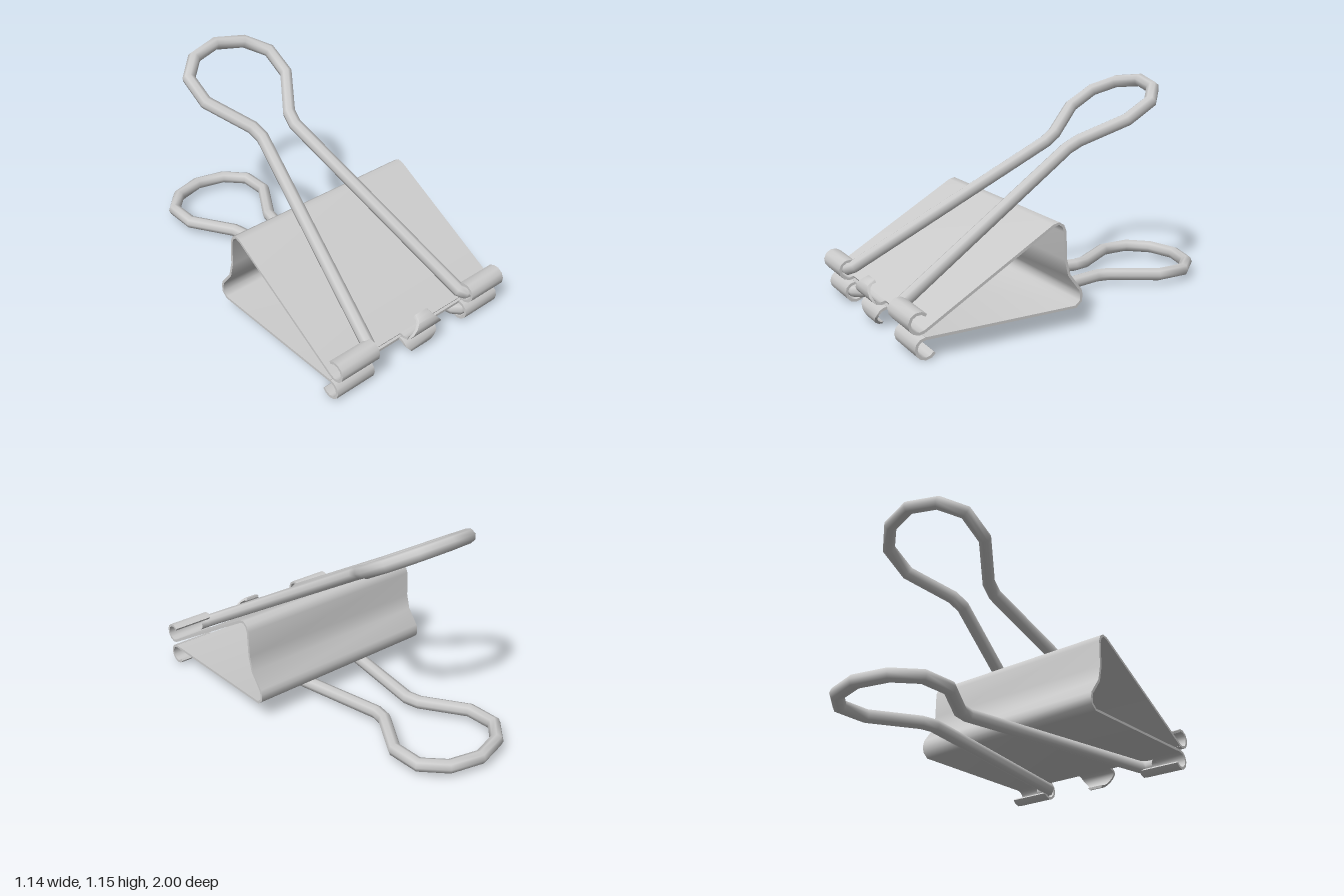
import * as THREE from 'three';
import { toCreasedNormals } from 'three/addons/utils/BufferGeometryUtils.js';

const material = new THREE.MeshStandardMaterial({ color: 0xcccccc, side: THREE.DoubleSide });
const V2 = (p) => new THREE.Vector2(p[0], p[1]);
const RAD = Math.PI / 180;
const SHEET = 0.014;

// Unit direction at point i of a polyline, halving the angle at corners
function directionAt(pts, i) {
  const before = pts[i].clone().sub(pts[Math.max(i - 1, 0)]).normalize();
  const after = pts[Math.min(i + 1, pts.length - 1)].clone().sub(pts[i]).normalize();
  return before.add(after).normalize();
}

// Sheet metal: a [z, y] profile given thickness and swept across x
function sheet(name, profile, width, x = 0, halfWidthAt = null) {
  const pts = profile.map(V2);
  const offset = (side) => pts.map((p, i) => {
    const d = directionAt(pts, i);
    return new THREE.Vector2(p.x - d.y * side * SHEET / 2, p.y + d.x * side * SHEET / 2);
  });
  const shape = new THREE.Shape([...offset(1), ...offset(-1).reverse()]);
  const geo = new THREE.ExtrudeGeometry(shape, { depth: width, bevelEnabled: false });
  geo.translate(0, 0, -width / 2).rotateY(-Math.PI / 2).translate(x, 0, 0);
  if (halfWidthAt) {
    const pos = geo.attributes.position;
    for (let i = 0; i < pos.count; i++) {
      pos.setX(i, Math.sign(pos.getX(i)) * halfWidthAt(pos.getY(i)));
    }
  }
  const mesh = new THREE.Mesh(toCreasedNormals(geo, 0.95), material);
  mesh.name = name;
  return mesh;
}

// Points of an arc in [z, y]
function arc([cz, cy], radius, from, to, steps) {
  return Array.from({ length: steps + 1 }, (_, i) => {
    const a = (from + (to - from) * i / steps) * RAD;
    return [cz + radius * Math.cos(a), cy + radius * Math.sin(a)];
  });
}

// Path with straight runs and one mitred ring per corner
class WirePath extends THREE.Curve {
  constructor(points) { super(); this.points = points; }
  index(u) { return Math.round(u * (this.points.length - 1)); }
  getPoint(u) { return this.points[this.index(u)].clone(); }
  getPointAt(u) { return this.getPoint(u); }
  getTangent(u) { return directionAt(this.points, this.index(u)); }
  getTangentAt(u) { return this.getTangent(u); }
}

// Wire handle in its own plane: x across, y along from the hinge
function handle(name) {
  const half = [[0.40, 0], [0.345, 0.003], [0.322, 0.03], [0.112, 1.243], [0.127, 1.32],
    [0.275, 1.555], [0.275, 1.725], [0.17, 1.835]];
  const points = [
    ...half.map(([x, y]) => new THREE.Vector3(-x, y, 0)),
    new THREE.Vector3(0, 1.88, 0),
    ...half.slice().reverse().map(([x, y]) => new THREE.Vector3(x, y, 0)),
  ];
  const geo = new THREE.TubeGeometry(new WirePath(points), points.length - 1, 0.036, 8, false);
  const mesh = new THREE.Mesh(geo, material);
  mesh.name = name;
  return mesh;
}

export function createModel() {
  const model = new THREE.Group();
  model.name = 'binderClip';
  const topHinge = [0.944, 0.182], bottomHinge = [0.915, 0.056], R = 0.049;
  const topStart = arc(topHinge, R, 240, 240, 1)[0];
  const bottomStart = arc(bottomHinge, R, 90, 90, 1)[0];

  // Folded spring body: top plate, curved back, bottom plate
  model.add(sheet('springBody', [
    topStart, [0.235, 0.538], [0.205, 0.545], [0.182, 0.53], [0.17, 0.5], [0.166, 0.36],
    [0.145, 0.275], [0.08, 0.19], [0.073, 0.165], [0.076, 0.13], [0.105, 0.105], bottomStart,
  ], 1.14));

  // Rolled hinge sleeves at both ends of each plate
  for (const [side, label] of [[1, 'left'], [-1, 'right']]) {
    model.add(sheet(label + 'TopSleeve', arc(topHinge, R, 240, 495, 8), 0.24, side * 0.45));
    model.add(sheet(label + 'BottomSleeve', arc(bottomHinge, R, 90, -150, 8), 0.24, side * 0.45));
  }

  // Tapered curled tabs in the middle of each plate
  const taper = (distance) => 0.11 - 0.07 * THREE.MathUtils.clamp(distance / 0.08, 0, 1);
  model.add(sheet('topTab', arc(topHinge, R, 240, 450, 8), 0.22, 0, (y) => taper(y - 0.152)));
  model.add(sheet('bottomTab', arc(bottomHinge, R, 90, -90, 8), 0.22, 0, (y) => taper(0.08 - y)));

  // Wire handles: one raised over the top plate, one lying flat below
  const top = handle('topHandle');
  top.rotation.x = -60.2 * RAD;
  top.position.set(-0.01, topHinge[1], topHinge[0]);
  const bottom = handle('bottomHandle');
  bottom.rotation.x = -89.8 * RAD;
  bottom.position.set(-0.003, bottomHinge[1], bottomHinge[0]);
  model.add(top, bottom);
  return model;
}
